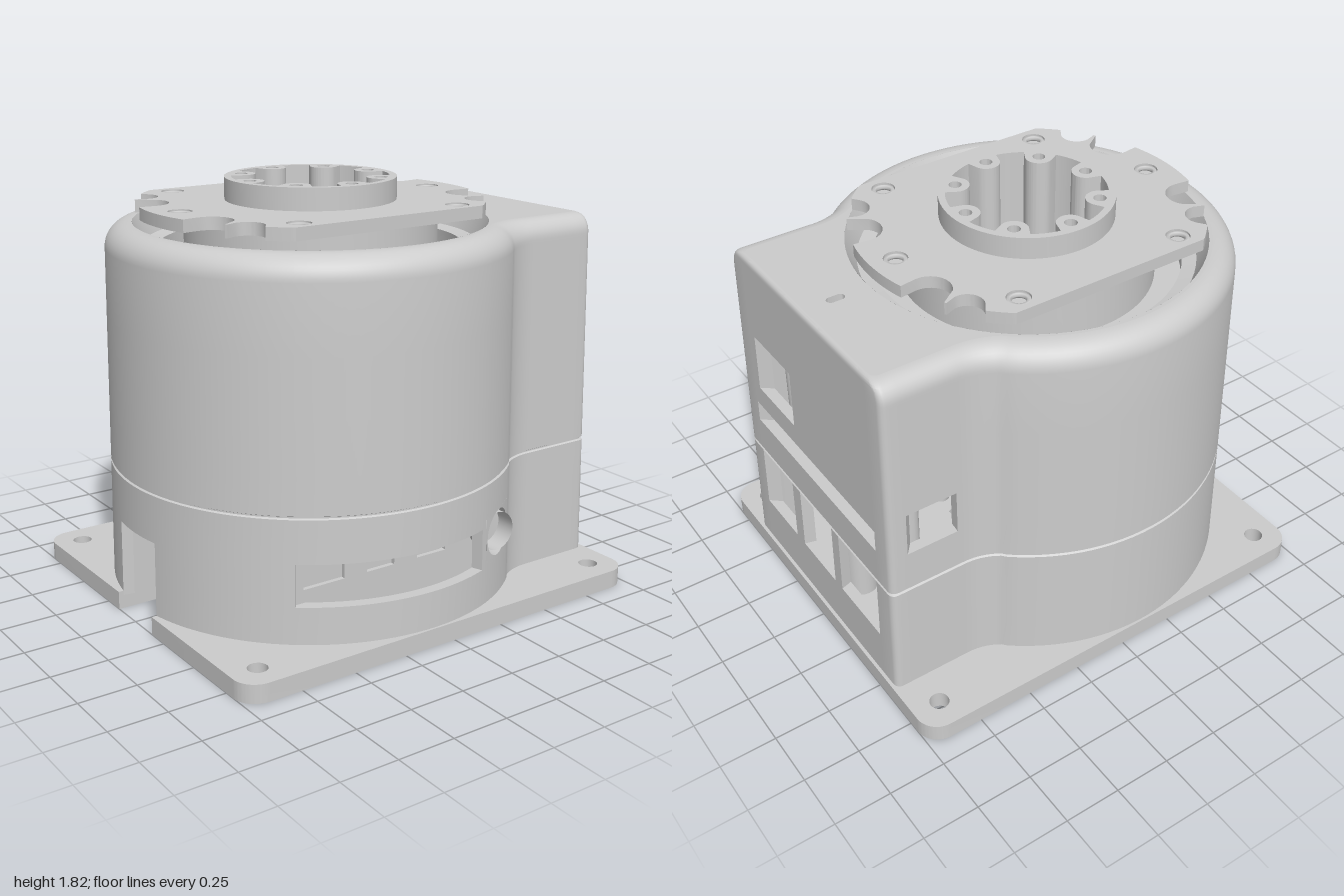
import * as THREE from 'three';
import { toCreasedNormals } from 'three/addons/utils/BufferGeometryUtils.js';

const CX = -0.1, R = 0.89, TOP = 1.635, WALL = 0.05;
const mat = new THREE.MeshStandardMaterial({ color: 0xcccccc, side: THREE.DoubleSide });

export function createModel() {
  const model = new THREE.Group();
  const add = (name, geo, x = 0, y = 0, z = 0, parent = model) => {
    const m = new THREE.Mesh(geo, mat);
    m.name = name;
    m.position.set(x, y, z);
    parent.add(m);
    return m;
  };
  const box = (name, x0, x1, y0, y1, z0, z1) =>
    add(name, new THREE.BoxGeometry(x1 - x0, y1 - y0, z1 - z0), (x0 + x1) / 2, (y0 + y1) / 2, (z0 + z1) / 2);
  const circle = (x, z, r) => new THREE.Path().absarc(x, z, r, 0, Math.PI * 2);
  const disc = (x, z, r) => new THREE.Shape().absarc(x, z, r, 0, Math.PI * 2);
  // Horizontal slab: the shape's y is the model's z
  const slab = (name, shape, y0, y1, segs = 32) => {
    const g = new THREE.ExtrudeGeometry(shape, { depth: y1 - y0, bevelEnabled: false, curveSegments: segs });
    return add(name, toCreasedNormals(g.rotateX(Math.PI / 2), 0.5), 0, y1, 0);
  };
  const rect = (x0, x1, y0, y1) => new THREE.Path([[x0, y0], [x1, y0], [x1, y1], [x0, y1], [x0, y0]].map(p => new THREE.Vector2(...p)));

  // Base plate with cable notch, front pocket, vents and mounting holes
  const base = new THREE.Shape();
  base.moveTo(-0.9, -0.9).lineTo(0.9, -0.9).absarc(0.9, -0.8, 0.1, -Math.PI / 2, 0)
    .absarc(0.9, 0.8, 0.1, 0, Math.PI / 2).absarc(-0.9, 0.8, 0.1, Math.PI / 2, Math.PI)
    .lineTo(-1, 0.15).lineTo(-0.47, 0.15).lineTo(-0.47, -0.15).lineTo(-1, -0.15)
    .absarc(-0.9, -0.8, 0.1, Math.PI, Math.PI * 1.5);
  const a0 = Math.asin(0.68 / 0.84);
  const pocket = () => new THREE.Shape().absarc(CX, 0, 0.84, a0, Math.PI - a0);
  base.holes.push(pocket(), circle(0.23, -0.62, 0.04));
  for (const sx of [-1, 1]) for (const sz of [-1, 1])
    base.holes.push(circle(sx * 0.875, sz * 0.775, 0.042), circle(CX + sx * 0.43, sz * 0.43, 0.04));
  for (let i = -2; i <= 2; i++) for (let j = -2; j <= 2; j++)
    base.holes.push(circle(CX + i * 0.145, j * 0.145, 0.04));
  slab('basePlate', base, 0, 0.08, 12);

  // Housing outline: round body, concave fillet, square end; n = inset direction, rx/rz = top rounding
  const half = [], F = { x: 0.629, z: 0.87, r: 0.25 };
  const tangent = Math.atan2(F.z, F.x - CX);
  const angles = [-0.65, 0.19, 0.22, 0.44].map(x => Math.acos((x - CX) / R));
  angles.push(Math.PI - Math.asin(0.15 / R));
  for (let i = 0; i <= 40; i++) angles.push(Math.PI + (tangent - Math.PI) * i / 40);
  angles.sort((a, b) => b - a).forEach(a => {
    const c = Math.cos(a), s = Math.sin(a);
    half.push({ x: CX + R * c, z: R * s, nx: c, nz: s, rx: 0.1, rz: 0.1 });
  });
  for (let i = 1; i <= 8; i++) {
    const a = tangent + Math.PI + (Math.PI / 2 - tangent) * i / 8, r = 0.1 - 0.02 * i / 8;
    half.push({ x: F.x + F.r * Math.cos(a), z: F.z + F.r * Math.sin(a), nx: -Math.cos(a), nz: -Math.sin(a), rx: r, rz: r });
  }
  for (const x of [0.66, 0.9]) half.push({ x, z: 0.62, nx: (x - 0.63) / 0.325, nz: 1, rx: 0.02, rz: 0.08 });
  for (let i = 0; i <= 4; i++) {
    const a = Math.PI / 2 * (1 - i / 4);
    half.push({ x: 0.955 + 0.03 * Math.cos(a), z: 0.59 + 0.03 * Math.sin(a), nx: 1, nz: 1, rx: 0.02, rz: 0.08 });
  }
  for (const z of [0.51, 0.5, 0.47, 0.23, 0.18, 0.16, 0.15, 0.12, 0])
    half.push({ x: 0.985, z, nx: 1, nz: z / 0.59, rx: 0.02, rz: 0.08 });
  const outline = half.concat(half.slice(1, -1).reverse().map(p => ({ ...p, z: -p.z, nz: -p.nz })));

  // Draft, seam groove and rounded top edge
  const inset = (y, r) => {
    const h = Math.min(r, Math.max(0, y - TOP + r));
    return 0.02 * (y - 0.08) / 1.555 + (y > 0.608 && y < 0.618 ? 0.008 : 0) + r - Math.sqrt(r * r - h * h);
  };
  const at = (p, y, t) => [p.x - p.nx * (inset(y, p.rx) + t), y, p.z - p.nz * (inset(y, p.rz) + t)];
  const within = (v, a, b) => v > a && v < b;
  const isOpen = (x, y, z) => {
    if (x > 0.97) return (within(z, 0.15, 0.47) && within(y, 0.98, 1.25)) || (within(z, -0.51, 0.51) && within(y, 0.78, 0.88)) ||
      (within(y, 0.3, 0.605) && (within(z, 0.23, 0.51) || within(z, -0.12, 0.16) || within(z, -0.5, -0.18)));
    if (z > 0.6) return (within(x, -0.65, 0.19) && within(y, 0.24, 0.42)) || (within(x, 0.22, 0.44) && within(y, 0.25, 0.47));
    if (z < -0.6) return within(x, 0.66, 0.9) && within(y, 0.8, 1);
    return x < -0.9 && within(z, -0.15, 0.15) && y < 0.4;
  };
  const rows = [0.06, 0.24, 0.25, 0.3, 0.4, 0.42, 0.47, 0.605, 0.61, 0.616, 0.62, 0.78, 0.8, 0.88, 0.98, 1, 1.25, 1.535];
  for (let i = 1; i <= 10; i++) rows.push(1.535 + 0.1 * Math.sin(i * Math.PI / 20));
  const pos = [], quad = (a, b, c, d) => pos.push(...a, ...b, ...c, ...a, ...c, ...d);
  const N = outline.length;
  const solid = (i, j) => {
    const p = outline[(i + N) % N], q = outline[(i + 1 + N) % N];
    return !isOpen((p.x + q.x) / 2, (rows[j] + rows[j + 1]) / 2, (p.z + q.z) / 2);
  };
  for (let i = 0; i < N; i++) for (let j = 0; j < rows.length - 1; j++) {
    if (!solid(i, j)) continue;
    const p = outline[i], q = outline[(i + 1) % N];
    const ring = t => [at(p, rows[j], t), at(q, rows[j], t), at(q, rows[j + 1], t), at(p, rows[j + 1], t)];
    const o = ring(0), n = ring(WALL);
    quad(...o);
    if (rows[j] < 1.53) quad(n[3], n[2], n[1], n[0]);
    [[0, -1], [1, 0], [0, 1], [-1, 0]].forEach(([di, dj], k) => {
      const l = (k + 1) % 4;
      if (j + dj >= 0 && j + dj < rows.length - 1 && !solid(i + di, j + dj)) quad(o[l], o[k], n[k], n[l]);
    });
  }
  // Curved patch around the round front port
  const port = (k, square, depth) => {
    const a = k * Math.PI / 24, c = Math.cos(a), s = Math.sin(a);
    const r = square ? 0.11 / Math.max(Math.abs(c), Math.abs(s)) : 0.1;
    const x = 0.33 + r * c, y = 0.36 + r * s;
    return [x, y, Math.sqrt((R - inset(y, 0.1)) ** 2 - (x - CX) ** 2) - depth];
  };
  for (let k = 0; k < 48; k++) {
    quad(port(k, 0, 0), port(k, 1, 0), port(k + 1, 1, 0), port(k + 1, 0, 0));
    quad(port(k, 0, 0), port(k + 1, 0, 0), port(k + 1, 0, 0.1), port(k, 0, 0.1));
  }
  const shell = new THREE.BufferGeometry().setAttribute('position', new THREE.Float32BufferAttribute(pos, 3));
  add('housingWall', toCreasedNormals(shell, 0.5));

  // Roof with round opening and small slot
  const roof = new THREE.Shape(outline.map(p => { const v = at(p, TOP, 0); return new THREE.Vector2(v[0], v[2]); }));
  roof.holes.push(circle(CX, 0, 0.755),
    new THREE.Path().absarc(0.825, 0, 0.02, -Math.PI / 2, Math.PI / 2).absarc(0.785, 0, 0.02, Math.PI / 2, Math.PI * 1.5));
  slab('roof', roof, TOP - 0.04, TOP, 48);
  const well = [[0.755, TOP], [0.71, 1.54], [0.65, 1.53], [0.65, 1.46], [0.36, 1.46]].map(p => new THREE.Vector2(...p));
  add('turntableWell', toCreasedNormals(new THREE.LatheGeometry(well, 72).toNonIndexed(), 0.4), CX);

  // Front port tube and button, front pocket and cable tunnel
  add('portTube', new THREE.CylinderGeometry(0.085, 0.085, 0.16, 32, 1, true).rotateX(Math.PI / 2), 0.33, 0.36, 0.69);
  add('portFloor', new THREE.CylinderGeometry(0.1, 0.1, 0.02, 32).rotateX(Math.PI / 2), 0.33, 0.36, 0.61);
  box('portKey', 0.32, 0.34, 0.29, 0.43, 0.6, 0.7);
  const panel = new THREE.Shape(rect(-0.66, 0.46, 0.06, 0.46).getPoints());
  for (const [a, b] of [[-0.6, -0.4], [-0.29, -0.15], [-0.03, 0.12]]) panel.holes.push(rect(a, b, 0.295, 0.38));
  add('pocketPanel', new THREE.ExtrudeGeometry(panel, { depth: 0.02, bevelEnabled: false }), 0, 0, 0.66);
  box('pocketBacking', -0.62, 0.14, 0.27, 0.4, 0.6, 0.62);
  slab('pocketRoof', pocket(), 0.44, 0.46);
  for (const s of [-1, 1]) box('tunnelSide', -0.95, -0.45, 0.02, 0.42, s * 0.16 - 0.01, s * 0.16 + 0.01);
  box('tunnelRoof', -0.95, -0.45, 0.4, 0.42, -0.15, 0.15);
  box('tunnelEnd', -0.47, -0.45, 0.02, 0.42, -0.15, 0.15);

  // Connectors and posts behind the side windows
  for (const [z0, z1] of [[0.27, 0.5], [-0.48, -0.29]]) box('connector', 0.5, 0.78, 0.28, 0.58, z0, z1);
  add('standoff', new THREE.CylinderGeometry(0.075, 0.075, 0.56, 24), 0.8, 0.34, 0);
  for (const z of [0.47, 0, -0.47]) add('boardPost', new THREE.CylinderGeometry(0.04, 0.04, 0.6, 16), 0.8, 0.8, z);
  add('upperPost', new THREE.CylinderGeometry(0.04, 0.04, 0.55, 16), 0.8, 1.33, 0.32);

  // Polar outline whose radius is cut in by circles [angle, distance, radius]
  const scalloped = (radius, cuts, n = 480) => Array.from({ length: n }, (_, i) => {
    const a = i / n * Math.PI * 2;
    let r = radius(a);
    for (const [ca, d, cr] of cuts) {
      const side = d * Math.sin(a - ca), along = d * Math.cos(a - ca);
      if (along > 0 && Math.abs(side) < cr) r = Math.min(r, along - Math.sqrt(cr * cr - side * side));
    }
    return new THREE.Vector2(CX + r * Math.cos(a), r * Math.sin(a));
  });

  // Turntable plate with flat sides, edge scallops and screws
  const cuts = [];
  for (const s of [-1, 1]) for (const h of [0, Math.PI]) cuts.push([h + s * 0.39, 0.69, 0.09], [h + s * 0.64, 0.72, 0.07]);
  const plate = new THREE.Shape(scalloped(a => Math.min(0.74, 0.58 / Math.max(0.01, Math.abs(Math.sin(a)))), cuts));
  plate.holes.push(circle(CX, 0, 0.36));
  for (const [x, z] of [[0.39, 0.5], [0.39, -0.5], [-0.39, 0.5], [-0.39, -0.5], [0.63, 0], [-0.63, 0]]) {
    plate.holes.push(circle(CX + x, z, 0.05));
    add('screwHead', new THREE.CylinderGeometry(0.05, 0.05, 0.025, 20), CX + x, 1.68, z);
    add('screwCollar', new THREE.TorusGeometry(0.04, 0.012, 6, 20).rotateX(Math.PI / 2), CX + x, 1.705, z);
  }
  slab('turntablePlate', plate, 1.667, 1.72);
  const rotor = disc(CX, 0, 0.54);
  rotor.holes.push(circle(CX, 0, 0.36));
  slab('rotor', rotor, 1.45, 1.667, 48);

  // Central ring with eight bolt bosses around a deep cavity
  const bolts = Array.from({ length: 8 }, (_, i) => i * Math.PI / 4);
  const hub = disc(CX, 0, 0.365);
  hub.holes.push(new THREE.Path(scalloped(() => 0.335, bolts.map(a => [a, 0.3, 0.06]))));
  for (const a of bolts) hub.holes.push(circle(CX + 0.3 * Math.cos(a), 0.3 * Math.sin(a), 0.027));
  slab('hubRing', hub, 1.4, 1.815, 40);
  const drilled = r => {
    const s = disc(CX, 0, r);
    s.holes.push(circle(CX, 0, 0.05));
    for (let i = 0; i < 4; i++) s.holes.push(circle(CX + 0.133 * Math.cos(i * Math.PI / 2), 0.133 * Math.sin(i * Math.PI / 2), 0.025));
    return s;
  };
  slab('hubFloor', drilled(0.365), 1.36, 1.4);
  slab('hubCore', drilled(0.17), 1.4, 1.43);
  return model;
}
